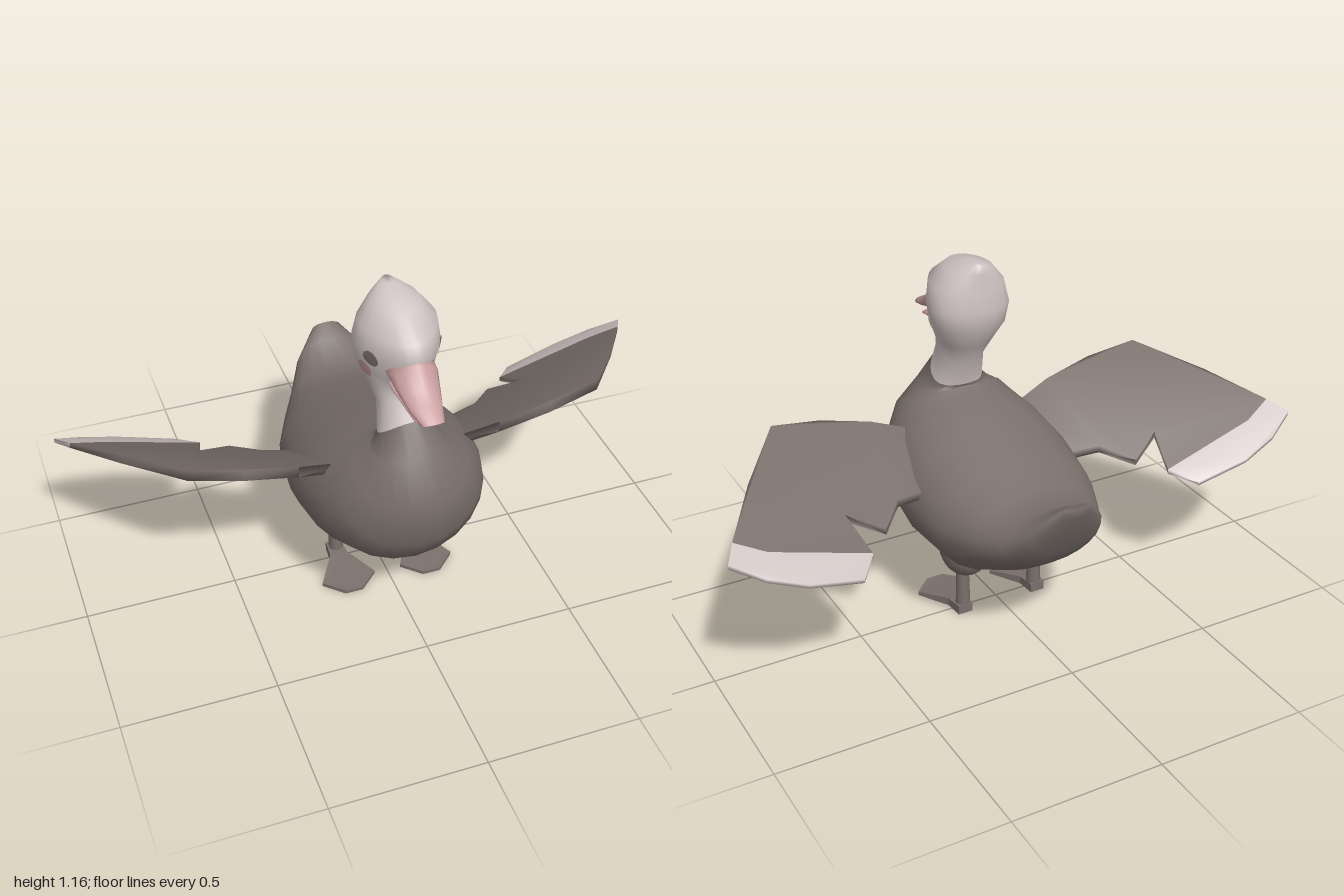
import * as THREE from 'three';

const material = (name, color) => {
  const m = new THREE.MeshStandardMaterial({ color });
  m.name = name;
  return m;
};

const clamp01 = (t) => Math.min(1, Math.max(0, t));

// Loft of egg-shaped rings. Each ring: [front z, front y, back z, back y, half width, egg taper, side sag]
function loft(rings, n, splitAt = rings.length) {
  const pos = [];
  const index = [];
  rings.forEach(([fz, fy, bz, by, w, egg = 0, sag = 0]) => {
    for (let j = 0; j < n; j++) {
      const a = (j / n) * Math.PI * 2;
      const c = Math.cos(a), s = Math.sin(a);
      pos.push(
        w * s * (1 - egg * c),
        (fy + by) / 2 + ((fy - by) / 2) * c - sag * s * s,
        (fz + bz) / 2 + ((fz - bz) / 2) * c
      );
    }
  });
  const last = rings.length - 1;
  const startCentre = rings.length * n;
  for (const [fz, fy, bz, by] of [rings[0], rings[last]]) pos.push(0, (fy + by) / 2, (fz + bz) / 2);
  for (let j = 0; j < n; j++) index.push(startCentre, (j + 1) % n, j);
  let splitIndex = 0;
  for (let i = 0; i < last; i++) {
    if (i === splitAt) splitIndex = index.length;
    for (let j = 0; j < n; j++) {
      const k = (j + 1) % n;
      const a = i * n + j, b = i * n + k, c = a + n, d = b + n;
      index.push(a, b, c, b, d, c);
    }
  }
  for (let j = 0; j < n; j++) index.push(startCentre + 1, last * n + j, last * n + ((j + 1) % n));
  const g = new THREE.BufferGeometry();
  g.setAttribute('position', new THREE.Float32BufferAttribute(pos, 3));
  g.setIndex(index);
  if (splitIndex) {
    g.addGroup(0, splitIndex, 0);
    g.addGroup(splitIndex, index.length - splitIndex, 1);
  }
  g.computeVertexNormals();
  return g;
}

// Wing: a thin slab sloping down to the rear and up to the tip; group 0 is grey, group 1 pale
function wing() {
  const points = [
    [0.15, 0.2], [0.33, 0.24], [0.5, 0.25], [0.67, 0.23], [0.83, 0.02], [0.955, -0.17],
    [0.995, -0.24], [0.9, -0.285], [0.78, -0.305], [0.6, -0.29], [0.535, -0.21],
    [0.565, -0.08], [0.455, -0.135], [0.37, -0.04], [0.2, 0], [0.86, -0.2],
  ];
  const n = points.length;
  const rim = n - 1; // the last point lies inside the outline
  const top = ([x, z]) =>
    0.565 + 0.3 * (x - 1) + 0.52 * (z + 0.24) + 0.05 * clamp01(1 - x / 0.6);
  const thickness = ([, z]) => 0.012 + 0.028 * clamp01((z + 0.3) / 0.5);
  const pos = [];
  for (const p of points) pos.push(p[0], top(p), p[1]);
  for (const p of points) pos.push(p[0], top(p) - thickness(p), p[1]);
  const grey = [], pale = [];
  // Root, middle and tip regions with their top and underside colours
  const regions = [
    [[0, 1, 13, 14], grey, grey],
    [[1, 2, 3, 4, 5, 15, 10, 11, 12, 13], grey, pale],
    [[5, 6, 7, 8, 9, 10, 15], pale, pale],
  ];
  for (const [ids, above, below] of regions) {
    const contour = ids.map((i) => new THREE.Vector2(points[i][0], -points[i][1]));
    for (const [a, b, c] of THREE.ShapeUtils.triangulateShape(contour, [])) {
      const up = THREE.ShapeUtils.area([contour[a], contour[b], contour[c]]) > 0;
      const [p, q, r] = up ? [ids[a], ids[b], ids[c]] : [ids[a], ids[c], ids[b]];
      above.push(p, q, r);
      below.push(p + n, r + n, q + n);
    }
  }
  for (let i = 0; i < rim; i++) {
    const j = (i + 1) % rim;
    (i >= 5 && i < 10 ? pale : grey).push(i, i + n, j + n, i, j + n, j);
  }
  const g = new THREE.BufferGeometry();
  g.setAttribute('position', new THREE.Float32BufferAttribute(pos, 3));
  g.setIndex([...grey, ...pale]);
  g.addGroup(0, grey.length, 0);
  g.addGroup(grey.length, pale.length, 1);
  g.computeVertexNormals();
  return g;
}

// Webbed foot, thick at the ankle and thin at the toes
function foot() {
  const outline = [
    [-0.025, -0.045], [0.025, -0.045], [0.03, 0.02], [0.092, 0.125], [0.03, 0.185],
    [-0.03, 0.185], [-0.092, 0.125], [-0.03, 0.02],
  ];
  const shape = new THREE.Shape(outline.map(([x, z]) => new THREE.Vector2(x, -z)));
  const g = new THREE.ExtrudeGeometry(shape, { depth: 1, bevelEnabled: false });
  g.rotateX(-Math.PI / 2);
  const p = g.attributes.position;
  for (let i = 0; i < p.count; i++) {
    const ankle = clamp01(1 - p.getZ(i) / 0.19) * clamp01(1 - Math.abs(p.getX(i)) / 0.1);
    p.setY(i, p.getY(i) > 0.5 ? 0.012 + 0.026 * ankle : 0);
  }
  g.computeVertexNormals();
  return g;
}

// Disc laid onto the side of a surface
function surfaceDisc(target, y, z, radius) {
  const g = new THREE.CircleGeometry(radius, 10);
  g.rotateY(Math.PI / 2);
  const p = g.attributes.position;
  const ray = new THREE.Raycaster();
  for (let i = 0; i < p.count; i++) {
    const py = p.getY(i) + y, pz = p.getZ(i) + z;
    ray.set(new THREE.Vector3(1, py, pz), new THREE.Vector3(-1, 0, 0));
    const hit = ray.intersectObject(target)[0];
    p.setXYZ(i, (hit ? hit.point.x : 0.1) + 0.004, py, pz);
  }
  g.computeVertexNormals();
  return g;
}

export function createModel() {
  const model = new THREE.Group();
  model.name = 'bird';
  const grey = material('greyFeathers', 0x7a706c);
  const pale = material('paleFeathers', 0xd2c6c5);
  const pink = material('pinkBeak', 0xc89e9f);

  const add = (parent, name, geometry, mat) => {
    const mesh = new THREE.Mesh(geometry, mat);
    mesh.name = name;
    parent.add(mesh);
    return mesh;
  };

  // Tail, body, neck and head as one smooth skin
  const body = add(model, 'bodyAndHead', loft([
    [-0.505, 0.57, -0.5, 0.615, 0.05],
    [-0.44, 0.42, -0.45, 0.58, 0.125],
    [-0.37, 0.34, -0.36, 0.527, 0.175],
    [-0.29, 0.28, -0.26, 0.545, 0.225],
    [-0.15, 0.205, -0.14, 0.585, 0.285],
    [0.06, 0.195, 0.03, 0.645, 0.308],
    [0.24, 0.22, 0.13, 0.68, 0.295],
    [0.38, 0.29, 0.17, 0.69, 0.265],
    [0.45, 0.4, 0.19, 0.7, 0.23],
    [0.475, 0.56, 0.2, 0.702, 0.18],
    [0.41, 0.7, 0.2, 0.707, 0.123, 0, 0.02],
    [0.345, 0.8, 0.195, 0.715, 0.087, 0, 0.03],
    [0.31, 0.86, 0.175, 0.8, 0.08],
    [0.305, 0.9, 0.13, 0.87, 0.095, 0.1],
    [0.33, 0.935, 0.085, 0.945, 0.118, 0.25],
    [0.365, 1.01, 0.075, 1.01, 0.128, 0.34],
    [0.355, 1.08, 0.083, 1.08, 0.116, 0.27],
    [0.27, 1.14, 0.086, 1.135, 0.072, 0.1],
    [0.17, 1.155, 0.09, 1.163, 0.025],
  ], 22, 11), [grey, pale]);

  // Open beak, narrow along its ridge
  add(model, 'upperBeak', loft([
    [0.29, 0.94, 0.325, 1.035, 0.072, -0.35],
    [0.32, 0.938, 0.372, 1.022, 0.07, -0.35],
    [0.37, 0.925, 0.41, 0.968, 0.062, -0.25],
    [0.425, 0.908, 0.455, 0.935, 0.051, -0.15],
    [0.475, 0.892, 0.51, 0.91, 0.036],
  ], 14), pink);
  add(model, 'lowerBeak', loft([
    [0.28, 0.915, 0.28, 0.945, 0.068],
    [0.33, 0.902, 0.33, 0.93, 0.06],
    [0.43, 0.875, 0.455, 0.885, 0.036],
  ], 14), pink);

  const wingGeometry = wing();
  const footGeometry = foot();
  const eyeGeometry = surfaceDisc(body, 1.003, 0.265, 0.026);
  const cheekGeometry = surfaceDisc(body, 0.948, 0.23, 0.027);

  for (const [side, sign] of [['left', 1], ['right', -1]]) {
    const half = new THREE.Group();
    half.name = side + 'Side';
    half.scale.x = sign;
    model.add(half);
    add(half, side + 'Wing', wingGeometry, [grey, pale]);
    add(half, side + 'Eye', eyeGeometry, grey);
    add(half, side + 'Cheek', cheekGeometry, pink);

    const thigh = add(half, side + 'Thigh', new THREE.SphereGeometry(1, 16, 12), grey);
    thigh.scale.set(0.08, 0.095, 0.095);
    thigh.position.set(0.13, 0.245, -0.025);
    const leg = add(half, side + 'Leg', new THREE.CylinderGeometry(0.021, 0.025, 0.16, 10), grey);
    leg.position.set(0.135, 0.09, -0.02);
    const webbedFoot = add(half, side + 'Foot', footGeometry, grey);
    webbedFoot.position.x = 0.138;
  }
  return model;
}
